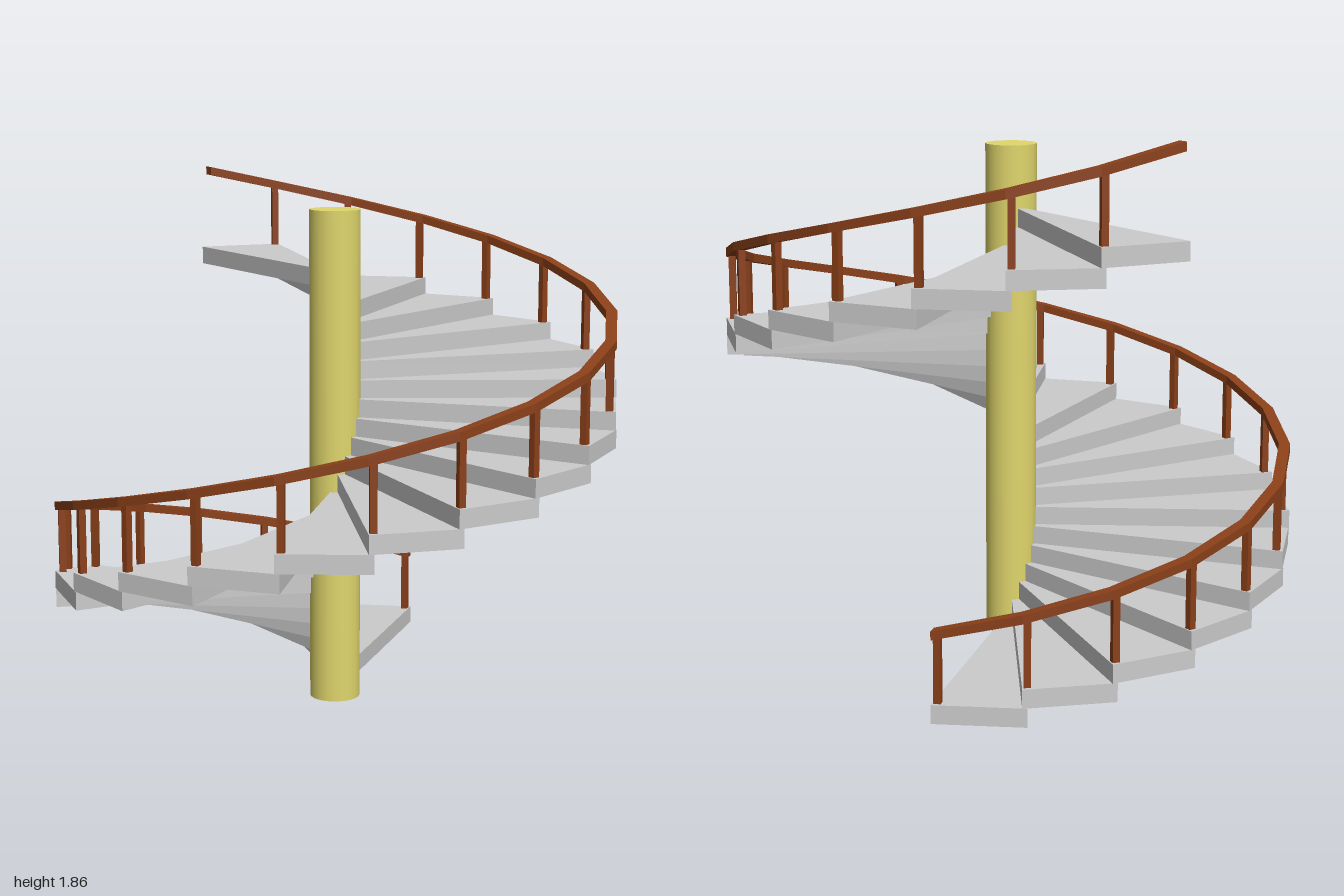
import * as THREE from 'three';

const STEPS = 24;
const RISE = 0.0644;
const RADIUS = 1.001;
const RAIL_RADIUS = 0.977;
const RAIL_START = 0.296; // height of the rail centre at the first step
const rad = THREE.MathUtils.degToRad;
const stepAngle = (i) => rad(54 + 17 * i); // 0 = +x, turning towards -z
const polar = (r, a, y) => new THREE.Vector3(r * Math.cos(a), y, -r * Math.sin(a));

// Wedge with its tip at the axis and a straight outer edge
function treadGeometry() {
  const w = rad(18);
  const shape = new THREE.Shape([
    new THREE.Vector2(0, 0),
    new THREE.Vector2(RADIUS, 0),
    new THREE.Vector2(RADIUS * Math.cos(w), RADIUS * Math.sin(w)),
  ]);
  return new THREE.ExtrudeGeometry(shape, { depth: RISE, bevelEnabled: false }).rotateX(-Math.PI / 2);
}

// Rectangular section swept up the helix, one straight piece per step
function handrailGeometry() {
  const hw = 0.02, hh = 0.015;
  const section = [[-hw, -hh], [hw, -hh], [hw, hh], [-hw, hh]];
  const ring = (i) => section.map(([dr, dy]) => polar(RAIL_RADIUS + dr, stepAngle(i), RAIL_START + RISE * i + dy));
  const pos = [];
  const quad = (a, b, c, d) => [a, b, c, a, c, d].forEach((p) => pos.push(p.x, p.y, p.z));
  for (let i = 0; i < STEPS; i++) {
    const p = ring(i), q = ring(i + 1);
    for (let k = 0; k < 4; k++) {
      const n = (k + 1) % 4;
      quad(p[k], p[n], q[n], q[k]);
    }
  }
  const s = ring(0), e = ring(STEPS);
  quad(s[3], s[2], s[1], s[0]);
  quad(e[0], e[1], e[2], e[3]);
  const g = new THREE.BufferGeometry();
  g.setAttribute('position', new THREE.Float32BufferAttribute(pos, 3));
  g.computeVertexNormals();
  return g;
}

export function createModel() {
  const model = new THREE.Group();
  model.name = 'spiralStaircase';
  const grey = new THREE.MeshStandardMaterial({ color: 0xcccccc });
  const yellow = new THREE.MeshStandardMaterial({ color: 0xe0d66c });
  const brown = new THREE.MeshStandardMaterial({ color: 0x8b4019, side: THREE.DoubleSide });

  const add = (name, geometry, material) => {
    const mesh = new THREE.Mesh(geometry, material);
    mesh.name = name;
    model.add(mesh);
    return mesh;
  };

  // Central column
  const columnHeight = 1.765;
  add('column', new THREE.CylinderGeometry(0.09, 0.09, columnHeight, 20), yellow).position.y = columnHeight / 2;

  // Treads, each with a baluster near its leading corner
  const tread = treadGeometry();
  const balusterHeight = RAIL_START - RISE;
  const baluster = new THREE.BoxGeometry(0.024, balusterHeight, 0.024);
  for (let i = 0; i < STEPS; i++) {
    const a = stepAngle(i);
    const t = add('tread', tread, grey);
    t.position.y = i * RISE;
    t.rotation.y = a;

    const b = add('baluster', baluster, brown);
    b.position.copy(polar(0.975, a + rad(1), (i + 1) * RISE + balusterHeight / 2));
    b.rotation.y = a;
  }

  // Handrail
  add('handrail', handrailGeometry(), brown);

  model.position.set(-0.003, 0, 0.002);
  return model;
}
